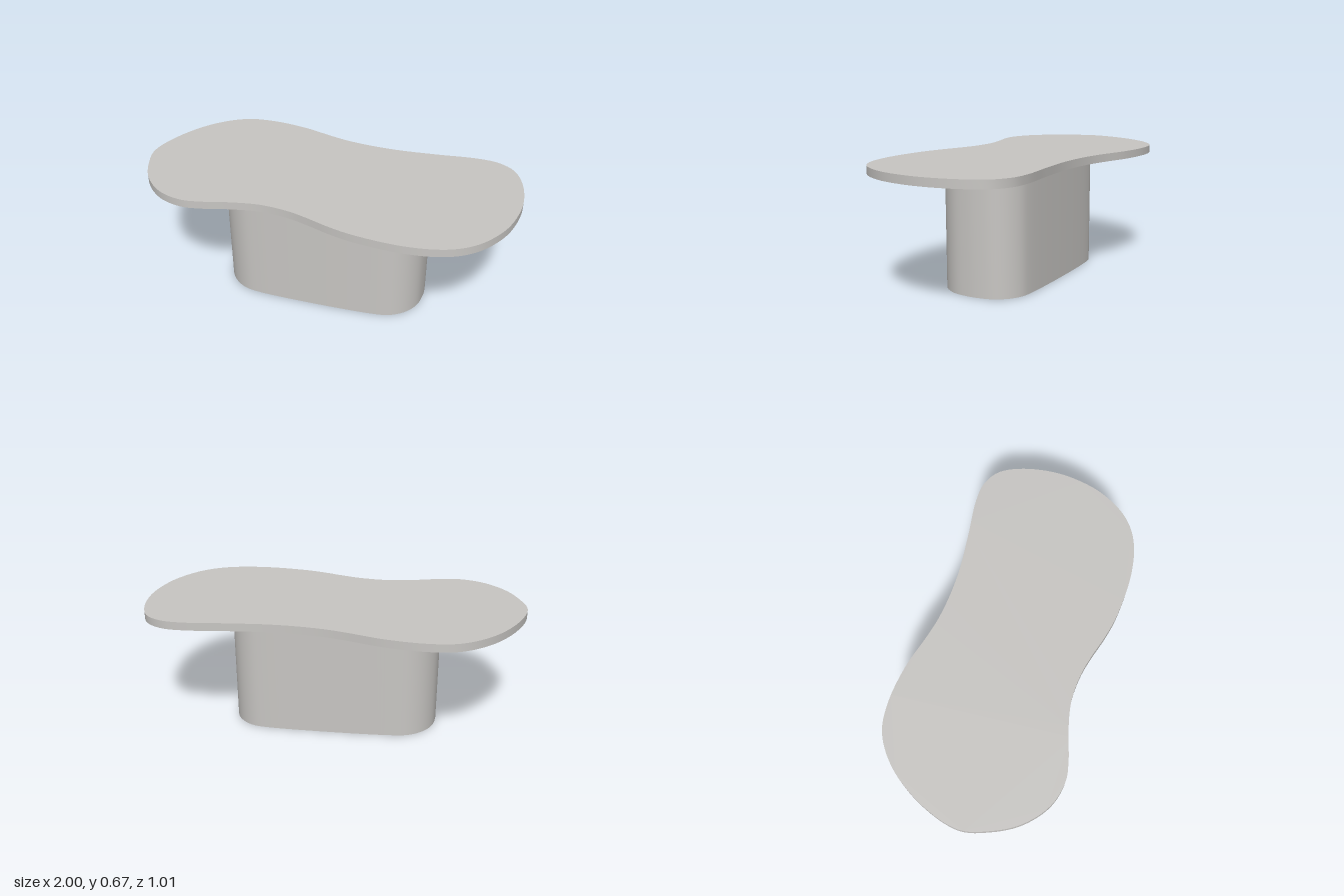
import * as THREE from 'three';
import { toCreasedNormals } from 'three/addons/utils/BufferGeometryUtils.js';

// Extrudes a smooth closed outline of [x, z] points upward from y0 to y1
function slab(points, y0, y1, divisions, material, name) {
  const curve = new THREE.CatmullRomCurve3(
    points.map(([x, z]) => new THREE.Vector3(x, -z, 0)), true, 'centripetal');
  const outline = curve.getSpacedPoints(divisions).slice(0, -1)
    .map((p) => new THREE.Vector2(p.x, p.y));
  const geometry = new THREE.ExtrudeGeometry(new THREE.Shape(outline), {
    depth: y1 - y0, bevelEnabled: false,
  });
  geometry.rotateX(-Math.PI / 2);
  geometry.translate(0, y0, 0);
  const mesh = new THREE.Mesh(toCreasedNormals(geometry, Math.PI / 5), material);
  mesh.name = name;
  return mesh;
}

// Rounded corner points around a centre, starting at a given angle
function corner(cx, cz, r, start) {
  return [0, 1, 2, 3, 4].map((i) => {
    const a = start + (i * Math.PI) / 8;
    return [cx + r * Math.cos(a), cz + r * Math.sin(a)];
  });
}

export function createModel() {
  const group = new THREE.Group();
  group.name = 'coffeeTable';
  const stone = new THREE.MeshStandardMaterial({ color: 0xc8c6c3 });
  stone.name = 'warm grey';

  // Freeform tabletop with a waist on both long sides
  const top = [
    [-1, 0], [-0.93, -0.21], [-0.8, -0.39], [-0.65, -0.49], [-0.5, -0.51],
    [-0.3, -0.485], [-0.1, -0.425], [0, -0.4], [0.15, -0.38], [0.3, -0.375],
    [0.5, -0.387], [0.72, -0.405], [0.83, -0.392], [0.92, -0.335], [0.975, -0.22],
    [1, -0.05], [0.985, 0.1], [0.94, 0.24], [0.85, 0.375], [0.76, 0.445],
    [0.65, 0.485], [0.48, 0.502], [0.25, 0.48], [0.13, 0.45], [0, 0.405],
    [-0.1, 0.377], [-0.25, 0.362], [-0.4, 0.383], [-0.55, 0.42], [-0.65, 0.43],
    [-0.78, 0.39], [-0.9, 0.28], [-0.97, 0.14],
  ];
  group.add(slab(top, 0.625, 0.667, 200, stone, 'tabletop'));

  // Solid pedestal with rounded ends
  const x0 = -0.56, x1 = 0.545, z0 = -0.23, z1 = 0.245;
  const base = [
    ...corner(x1 - 0.22, z1 - 0.22, 0.22, 0),
    ...corner(x0 + 0.23, z1 - 0.23, 0.23, Math.PI / 2),
    ...corner(x0 + 0.22, z0 + 0.22, 0.22, Math.PI),
    ...corner(x1 - 0.19, z0 + 0.19, 0.19, Math.PI * 1.5),
  ];
  group.add(slab(base, 0, 0.625, 140, stone, 'pedestal'));

  return group;
}
